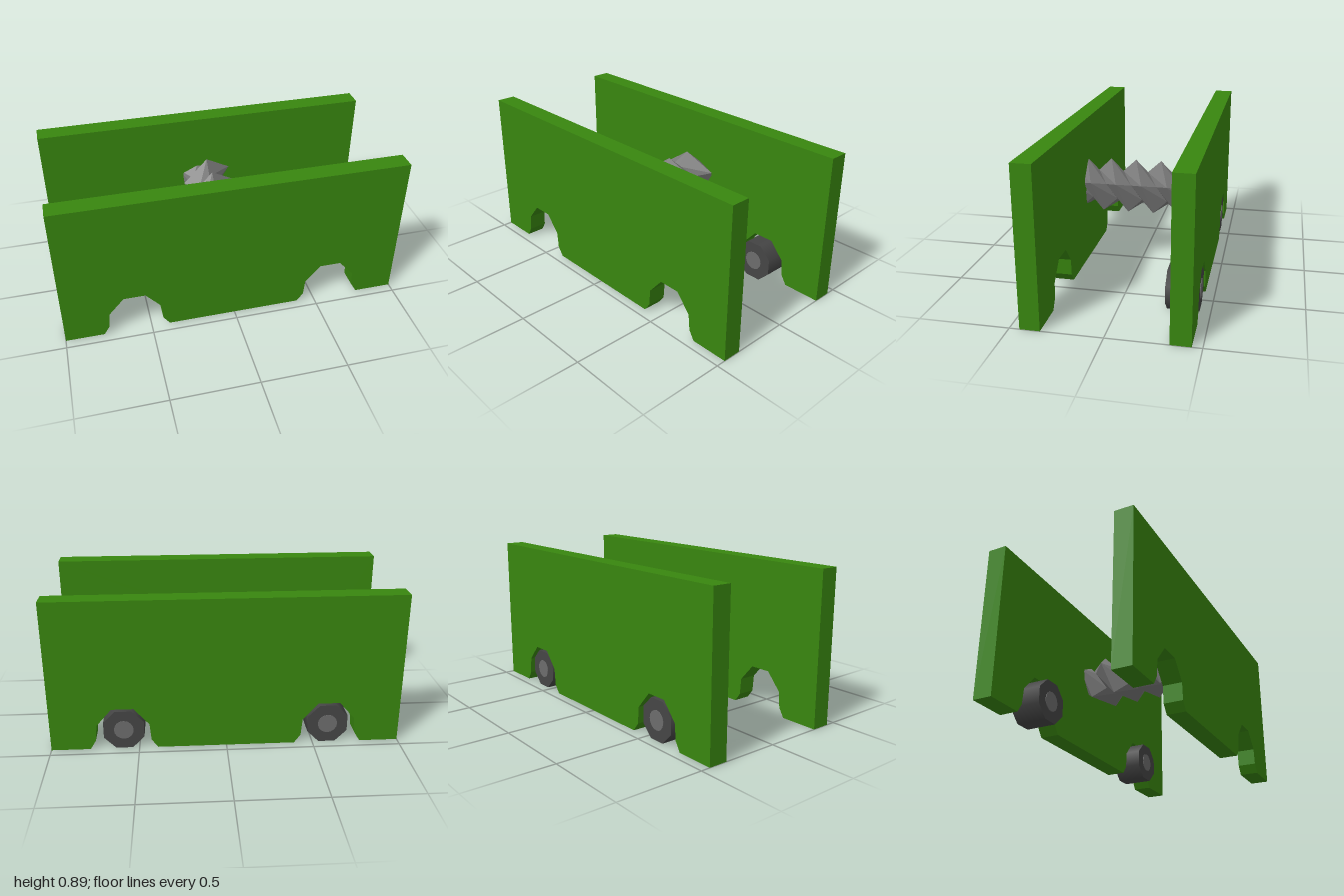
import * as THREE from 'three';

const mat = (name, color, opts = {}) => {
  const m = new THREE.MeshStandardMaterial({ color, ...opts });
  m.name = name;
  return m;
};

// Two-start, five-sided thread running along z
function threadGeometry() {
  const sides = 5, step = 0.0766, lead = step * 4, reach = 0.41;
  const point = (i, j) => {
    const a = Math.PI / 2 + (j * Math.PI * 2) / sides;
    const r = i % 2 === 0 ? 0.166 : 0.088;
    const z = 0.039 + i * step + (j * lead) / sides;
    return [Math.cos(a) * r, Math.sin(a) * r, THREE.MathUtils.clamp(z, -reach, reach)];
  };
  const pos = [];
  for (let i = -12; i < 8; i++) {
    for (let j = 0; j < sides; j++) {
      const a = point(i, j), b = point(i, j + 1), c = point(i + 1, j + 1), d = point(i + 1, j);
      pos.push(...a, ...b, ...c, ...a, ...c, ...d);
    }
  }
  const g = new THREE.BufferGeometry();
  g.setAttribute('position', new THREE.Float32BufferAttribute(pos, 3));
  g.computeVertexNormals();
  return g;
}

export function createModel() {
  const model = new THREE.Group();
  const green = mat('green panel', 0x38860f);
  const steel = mat('steel grey', 0x7a7a7a, { side: THREE.DoubleSide });
  const rubber = mat('dark wheel', 0x454545);
  const hubGrey = mat('hub grey', 0x6c6c6c);

  const add = (name, geo, material, x, y, z, parent = model) => {
    const m = new THREE.Mesh(geo, material);
    m.name = name;
    m.position.set(x, y, z);
    parent.add(m);
    return m;
  };

  // Side panels with two wheel arches each
  const arch = [[0.393, 0], [0.43, 0.05], [0.438, 0.148], [0.525, 0.248],
    [0.65, 0.248], [0.737, 0.148], [0.746, 0.053], [0.778, 0]];
  const outline = [
    [-1, 0],
    ...arch.map(([x, y]) => [-x, y]).reverse(),
    ...arch,
    [1, 0], [1, 0.89], [-1, 0.89],
  ].map(([x, y]) => new THREE.Vector2(x, y));
  const depth = 0.11;
  const panel = new THREE.ExtrudeGeometry(new THREE.Shape(outline), { depth, bevelEnabled: false });
  add('frontPanel', panel, green, 0, 0, 0.335);
  add('backPanel', panel, green, 0, 0, -0.445);

  // Threaded bar joining the panels
  add('threadedBar', threadGeometry(), steel, 0, 0.475, 0);

  // Octagonal wheels in the back arches, with a hub on each face
  const wheelLength = 0.178;
  const wheelGeo = new THREE.CylinderGeometry(0.1245, 0.1245, wheelLength, 8);
  wheelGeo.rotateY(Math.PI / 8).rotateX(Math.PI / 2);
  const hubGeo = new THREE.CylinderGeometry(0.056, 0.056, 0.004, 16).rotateX(Math.PI / 2);
  for (const side of [-1, 1]) {
    const wheel = new THREE.Group();
    wheel.name = side > 0 ? 'leftWheel' : 'rightWheel';
    wheel.position.set(side * 0.585, 0.115, -0.35);
    add('tyre', wheelGeo, rubber, 0, 0, 0, wheel);
    for (const end of [-1, 1]) add('hub', hubGeo, hubGrey, 0, 0, end * (wheelLength / 2 + 0.001), wheel);
    model.add(wheel);
  }
  return model;
}
